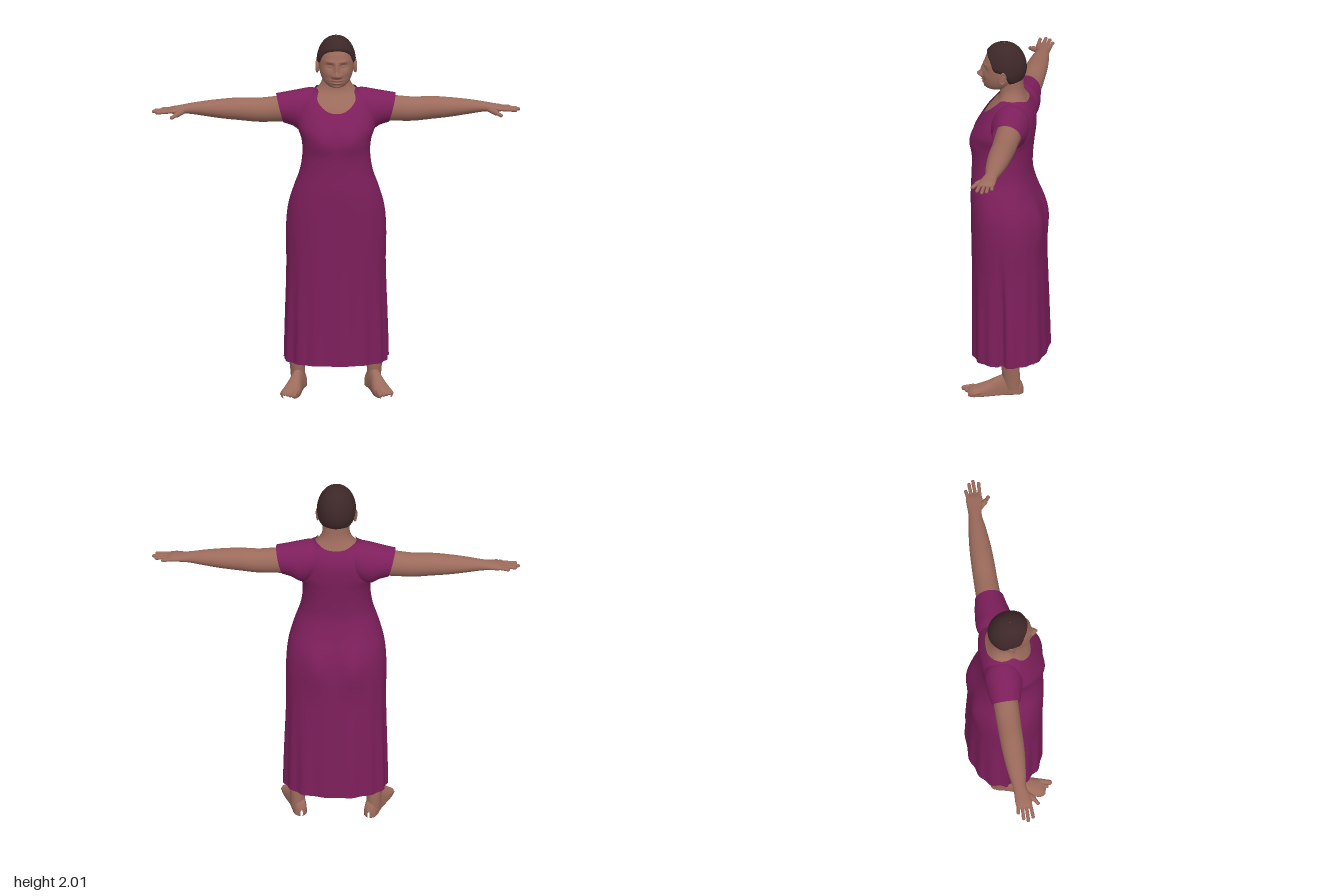
import * as THREE from 'three';
import { ParametricGeometry } from 'three/addons/geometries/ParametricGeometry.js';

const TAU = Math.PI * 2;
const paint = (name, color) => {
  const m = new THREE.MeshStandardMaterial({ color });
  m.name = name;
  return m;
};
const gauss = (d, s) => Math.exp(-((d / s) ** 2));
const bump = (x, y, x0, y0, sx, sy) => gauss(Math.abs(x) - x0, sx) * gauss(y - y0, sy);
const spow = (v, p) => Math.sign(v) * Math.abs(v) ** p;

// Smooth table lookup: the first column is the key, the rest are values
function table(rows) {
  const n = rows[0].length - 1;
  const curve = new THREE.CubicInterpolant(rows.map(r => r[0]), rows.flatMap(r => r.slice(1)), n);
  return key => curve.evaluate(key);
}

export function createModel() {
  const skin = paint('skin', 0x9c6b5c);
  const hair = paint('hair', 0x3d2728);
  const cloth = paint('dress cloth', 0x7e1f5c);
  cloth.side = THREE.DoubleSide;

  const model = new THREE.Group();
  model.name = 'standingWoman';

  function add(name, geometry, material, parent = model) {
    const mesh = new THREE.Mesh(geometry, material);
    mesh.name = name;
    parent.add(mesh);
    return mesh;
  }

  // Surface with u around and v along; side = -1 mirrors it across x
  function surface(fn, nu, nv, side = 1) {
    return new ParametricGeometry((u, v, p) => {
      fn((side > 0 ? u : 1 - u) * TAU, v, p);
      p.x *= side;
    }, nu, nv);
  }

  // Tapered limb piece between two points
  function capsule(name, a, b, r, parent, flat = 1) {
    const from = new THREE.Vector3(...a), to = new THREE.Vector3(...b);
    const dir = to.clone().sub(from);
    const mesh = add(name, new THREE.CapsuleGeometry(r, dir.length(), 6, 14), skin, parent);
    mesh.position.copy(from).add(to).multiplyScalar(0.5);
    mesh.quaternion.setFromUnitVectors(new THREE.Vector3(0, 1, 0), dir.normalize());
    mesh.scale.set(flat, 1, 1);
  }

  // ---- Dress: y -> half width, front z, back z
  const dressRow = table([
    [0.18, 0.283, 0.198, -0.212], [0.4, 0.278, 0.198, -0.206], [0.7, 0.271, 0.2, -0.198],
    [0.95, 0.271, 0.204, -0.188], [1.05, 0.26, 0.206, -0.172], [1.15, 0.232, 0.207, -0.143],
    [1.25, 0.198, 0.204, -0.122], [1.35, 0.184, 0.203, -0.124], [1.43, 0.19, 0.207, -0.132],
    [1.5, 0.212, 0.19, -0.14], [1.6, 0.2, 0.135, -0.137], [1.65, 0.18, 0.095, -0.118],
    [1.69, 0.12, 0.062, -0.098], [1.72, 0.1, 0.055, -0.09],
  ]);
  add('dress', surface((a, v, p) => {
    const c = Math.cos(a), s = Math.sin(a);
    // Scooped neckline, deeper at the front
    const top = 1.7 - (c > 0 ? 0.11 * c ** 5 : 0.025 * c ** 4);
    const y = THREE.MathUtils.lerp(0.178, top, v);
    const [hw, zf, zb] = dressRow(y);
    // Hanging folds and side slits in the skirt
    const skirt = 1 - THREE.MathUtils.smoothstep(y, 0.2, 0.95);
    const k = 1 + skirt * (0.018 * Math.sin(a * 15 + 0.6) + 0.01 * Math.sin(a * 8))
      - 0.07 * Math.min(1, skirt * 2) * gauss(Math.abs(s) - 1, 0.0015);
    const x = k * hw * spow(s, 0.85);
    let z = (zf + zb) / 2 + k * (zf - zb) / 2 * spow(c, 0.85);
    if (c > 0) z += 0.012 * bump(x, y, 0.085, 1.44, 0.06, 0.07) * c;
    else z += 0.02 * bump(x, y, 0.115, 0.97, 0.07, 0.12) * c;
    p.set(x, y, z);
  }, 180, 110), cloth);

  // ---- Neck and upper chest
  const neckRow = table([
    [1.48, 0.19, 0.175, -0.12], [1.55, 0.19, 0.153, -0.128], [1.6, 0.185, 0.127, -0.129],
    [1.65, 0.165, 0.087, -0.11], [1.69, 0.11, 0.057, -0.091], [1.73, 0.08, 0.05, -0.078],
    [1.83, 0.074, 0.06, -0.07],
  ]);
  add('neckAndChest', surface((a, v, p) => {
    const y = 1.48 + 0.35 * v;
    const [hw, zf, zb] = neckRow(y);
    p.set(hw * spow(Math.sin(a), 0.88), y, (zf + zb) / 2 + (zf - zb) / 2 * spow(Math.cos(a), 0.88));
  }, 64, 30), skin);

  // ---- Head with modelled features; theta runs down from the crown
  const headY = 1.86, headR = 0.131;
  function headPoint(a, theta, grow, p) {
    const c = Math.cos(a), down = Math.max(0, -Math.cos(theta));
    const r = Math.sin(theta) ** (theta > Math.PI / 2 ? 0.72 : 0.9);
    const x = (0.096 + grow) * r * Math.sin(a);
    const y = headY + (headR + grow) * Math.cos(theta);
    let z = 0.03 + (0.112 + grow) * r * c + 0.05 * down * down;
    if (c > 0 && grow === 0) {
      z += 0.034 * bump(x, y, 0, 1.809, 0.017, 0.018) + 0.017 * bump(x, y, 0, 1.843, 0.012, 0.03)
        + 0.012 * bump(x, y, 0.019, 1.803, 0.01, 0.011)
        - 0.013 * bump(x, y, 0.038, 1.856, 0.02, 0.013) + 0.008 * bump(x, y, 0.038, 1.855, 0.013, 0.006)
        + 0.007 * bump(x, y, 0.034, 1.882, 0.026, 0.01)
        + 0.005 * bump(x, y, 0.055, 1.815, 0.025, 0.02)
        + 0.011 * bump(x, y, 0, 1.779, 0.026, 0.006) + 0.011 * bump(x, y, 0, 1.763, 0.023, 0.007)
        + 0.011 * bump(x, y, 0, 1.739, 0.025, 0.011);
    }
    p.set(x, y, z);
  }
  add('head', surface((a, v, p) => headPoint(a, 0.01 + (Math.PI - 0.02) * (1 - v), 0, p), 110, 110), skin);

  // Cropped hair: angle from the front -> hairline height
  const hairline = table([
    [0, 1.938], [0.55, 1.93], [0.95, 1.905], [1.2, 1.862], [1.5, 1.855],
    [1.8, 1.83], [2.1, 1.79], [Math.PI, 1.775],
  ]);
  add('hair', surface((a, v, p) => {
    const [edge] = hairline(Math.min(a, TAU - a));
    const end = Math.acos((edge - headY) / headR);
    headPoint(a, 0.01 + (end - 0.01) * (1 - v), -0.003 + 0.014 * Math.min(1, v * 9) ** 0.5, p);
  }, 80, 50), hair);

  // ---- Arms: x -> centre y, half height, centre z, half depth
  const armRow = table([
    [0.2, 1.575, 0.072, -0.04, 0.07], [0.32, 1.572, 0.07, -0.04, 0.067], [0.42, 1.567, 0.066, -0.041, 0.065],
    [0.52, 1.573, 0.062, -0.041, 0.063], [0.62, 1.575, 0.053, -0.041, 0.058], [0.72, 1.577, 0.04, -0.041, 0.047],
    [0.8, 1.577, 0.028, -0.04, 0.036], [0.85, 1.574, 0.022, -0.034, 0.042],
    [0.9, 1.571, 0.015, -0.031, 0.044], [0.925, 1.57, 0.004, -0.031, 0.034],
  ]);
  // Sleeves use the same columns
  const sleeveRow = table([
    [0.07, 1.6, 0.08, -0.03, 0.07], [0.13, 1.585, 0.107, -0.03, 0.1], [0.2, 1.567, 0.113, -0.032, 0.1],
    [0.25, 1.575, 0.094, -0.036, 0.09], [0.31, 1.578, 0.079, -0.038, 0.078],
  ]);
  // Fingers: base z, tip x, tip z
  const fingers = [[-0.062, 0.94, -0.069], [-0.042, 0.977, -0.046], [-0.02, 0.992, -0.022], [0.002, 0.975, 0.007]];

  // ---- Legs: y -> centre x, half width, centre z, half depth
  const legRow = table([
    [0.03, 0.205, 0.038, -0.05, 0.045], [0.1, 0.208, 0.04, -0.045, 0.048], [0.18, 0.21, 0.046, -0.04, 0.05],
    [0.35, 0.195, 0.062, -0.045, 0.066], [0.55, 0.17, 0.065, -0.02, 0.07], [0.85, 0.13, 0.09, -0.01, 0.1],
  ]);
  // Feet: distance along the foot -> half width, height
  const footRow = table([
    [-0.07, 0.006, 0.025], [-0.062, 0.024, 0.05], [-0.035, 0.036, 0.085], [0.01, 0.036, 0.108],
    [0.06, 0.037, 0.094], [0.12, 0.045, 0.065], [0.18, 0.05, 0.042], [0.22, 0.045, 0.028], [0.235, 0.03, 0.012],
  ]);

  for (const side of [1, -1]) {
    const label = side > 0 ? 'left' : 'right';
    const group = part => {
      const g = new THREE.Group();
      g.name = label + part;
      model.add(g);
      return g;
    };

    const arm = group('Arm');
    const along = (row, x0, x1, tilt) => (a, v, p) => {
      const x = THREE.MathUtils.lerp(x0, x1, v);
      const [cy, ry, cz, rz] = row(x);
      p.set(x + tilt * v * Math.cos(a), cy + ry * Math.cos(a), cz + rz * Math.sin(a));
    };
    add('armAndPalm', surface(along(armRow, 0.2, 0.925, 0), 40, 60, side), skin, arm);
    add('sleeve', surface(along(sleeveRow, 0.07, 0.305, 0.02), 48, 28, side), cloth, arm);
    fingers.forEach(([z0, x, z], i) =>
      capsule('finger' + (i + 1), [side * 0.89, 1.571, z0], [side * x, 1.567, z], 0.0095, arm));
    capsule('thumbBase', [side * 0.83, 1.569, -0.015], [side * 0.87, 1.559, 0.026], 0.015, arm);
    capsule('thumbTip', [side * 0.87, 1.559, 0.026], [side * 0.895, 1.549, 0.046], 0.0105, arm);

    // Ear: rim and inner shell
    const ear = group('Ear');
    ear.position.set(side * 0.099, 1.832, 0.022);
    ear.rotation.set(-0.15, side * 0.3, 0);
    add('earShell', new THREE.SphereGeometry(1, 18, 14), skin, ear).scale.set(0.008, 0.034, 0.019);
    const rim = add('earRim', new THREE.TorusGeometry(0.017, 0.005, 8, 24), skin, ear);
    rim.rotation.y = Math.PI / 2;
    rim.scale.set(1, 1.8, 1);
    rim.position.x = side * 0.005;

    const leg = group('Leg');
    add('legAndAnkle', surface((a, v, p) => {
      const y = 0.03 + 0.82 * v;
      const [cx, rx, cz, rz] = legRow(y);
      p.set(cx + rx * Math.sin(a), y, cz + rz * Math.cos(a));
    }, 36, 40, side), skin, leg);

    // Foot turned outwards, flat sole, five toes
    const foot = group('Foot');
    foot.position.set(side * 0.201, 0.006, -0.04);
    foot.rotation.y = side * 0.27;
    add('footBody', surface((a, v, p) => {
      const d = -0.07 + 0.305 * v;
      const [hw, h] = footRow(d);
      const up = Math.sin(a);
      p.set(hw * spow(Math.cos(a), 0.8), up > 0 ? 0.012 + (h - 0.012) * up : 0.012 * spow(up, 0.5), d);
    }, 40, 40, side), skin, foot);
    for (let i = 0; i < 5; i++) {
      const r = i === 0 ? 0.014 : 0.0105 - i * 0.0005;
      const x = side * (-0.034 + i * 0.019 + (i ? 0.004 : 0));
      capsule('toe' + (i + 1), [x * 0.95, r + 0.008, 0.2 - i * 0.007], [x, r, 0.25 - i * 0.011], r, foot);
    }
  }
  return model;
}
